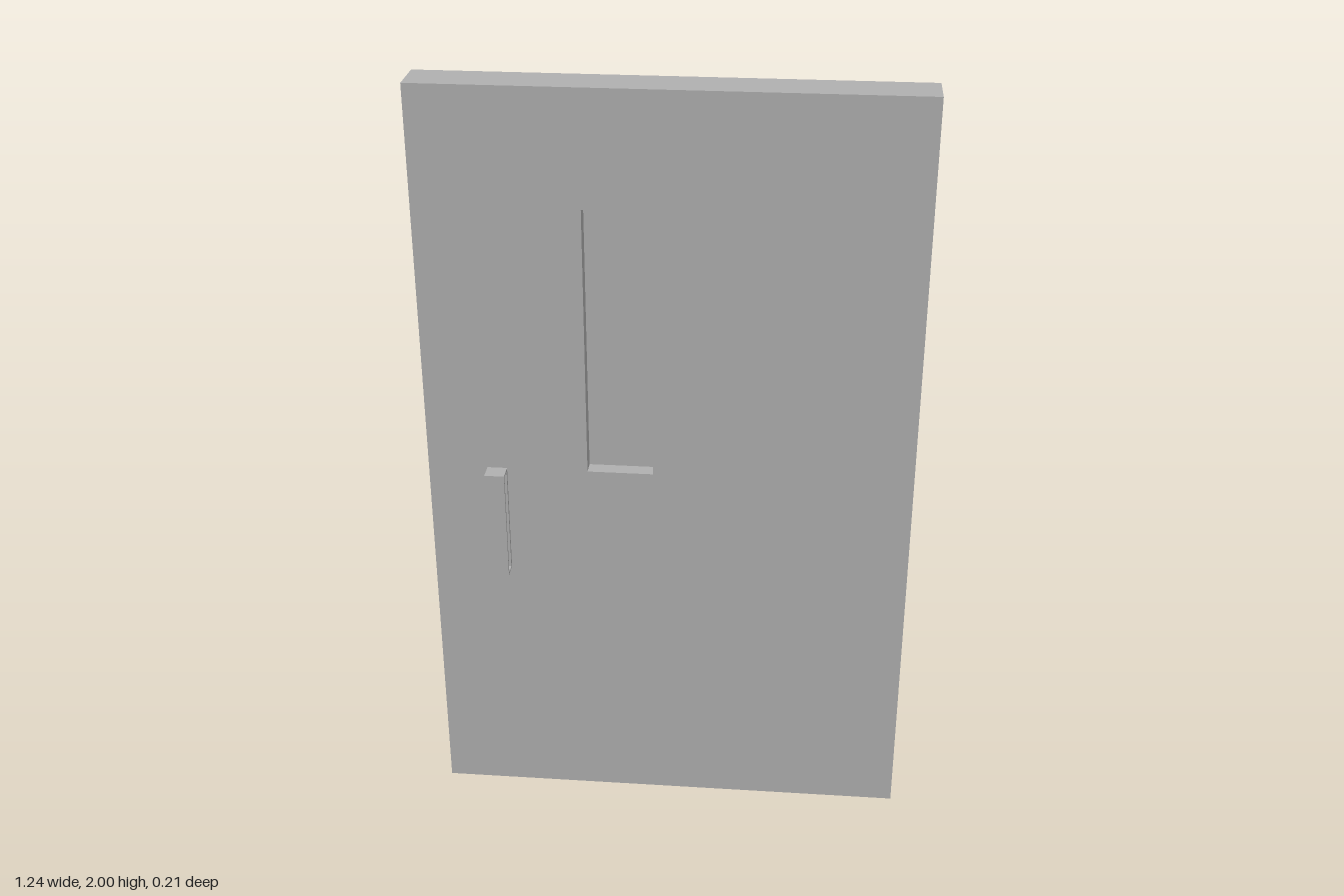
import * as THREE from 'three';

const WIDTH = 1.243, HEIGHT = 2, THICK = 0.113;
const WINDOW = { x0: -0.209, x1: -0.041, y0: 1.0, y1: 1.705 };

function rectPoints(x0, y0, x1, y1) {
  return [[x0, y0], [x1, y0], [x1, y1], [x0, y1]].map(([x, y]) => new THREE.Vector2(x, y));
}

// Rectangular frame, extruded and centred on z
function frameGeometry(outer, inner, depth) {
  const shape = new THREE.Shape(rectPoints(...outer));
  shape.holes.push(new THREE.Path(rectPoints(...inner).reverse()));
  const geometry = new THREE.ExtrudeGeometry(shape, { depth, bevelEnabled: false });
  return geometry.translate(0, 0, -depth / 2);
}

export function createModel() {
  const group = new THREE.Group();
  const grey = new THREE.MeshStandardMaterial({ color: 0xb0b0b0 });
  grey.name = 'grey';

  function add(name, geometry) {
    const mesh = new THREE.Mesh(geometry, grey);
    mesh.name = name;
    group.add(mesh);
    return mesh;
  }

  // Door slab with the window opening
  const { x0, x1, y0, y1 } = WINDOW;
  add('doorLeaf', frameGeometry([-WIDTH / 2, 0, WIDTH / 2, HEIGHT], [x0, y0, x1, y1], THICK));

  // Pane recessed from both faces
  const pane = add('windowPane', new THREE.BoxGeometry(x1 - x0, y1 - y0, 0.033));
  pane.position.set((x0 + x1) / 2, (y0 + y1) / 2, 0);

  // Pull handles: side profiles measured outward from the door face
  const handles = [
    { name: 'frontHandle', side: 1, hole: [0.009, 0.709, 0.04, 0.995] },
    { name: 'backHandle', side: -1, hole: [0.006, 0.75, 0.036, 0.967] },
  ];
  for (const { name, side, hole } of handles) {
    const geometry = frameGeometry([0, 0.704, 0.047, 1.0], hole, 0.051);
    geometry.rotateY(-side * Math.PI / 2);
    add(name, geometry).position.set(-0.443, 0, side * THICK / 2);
  }

  return group;
}
